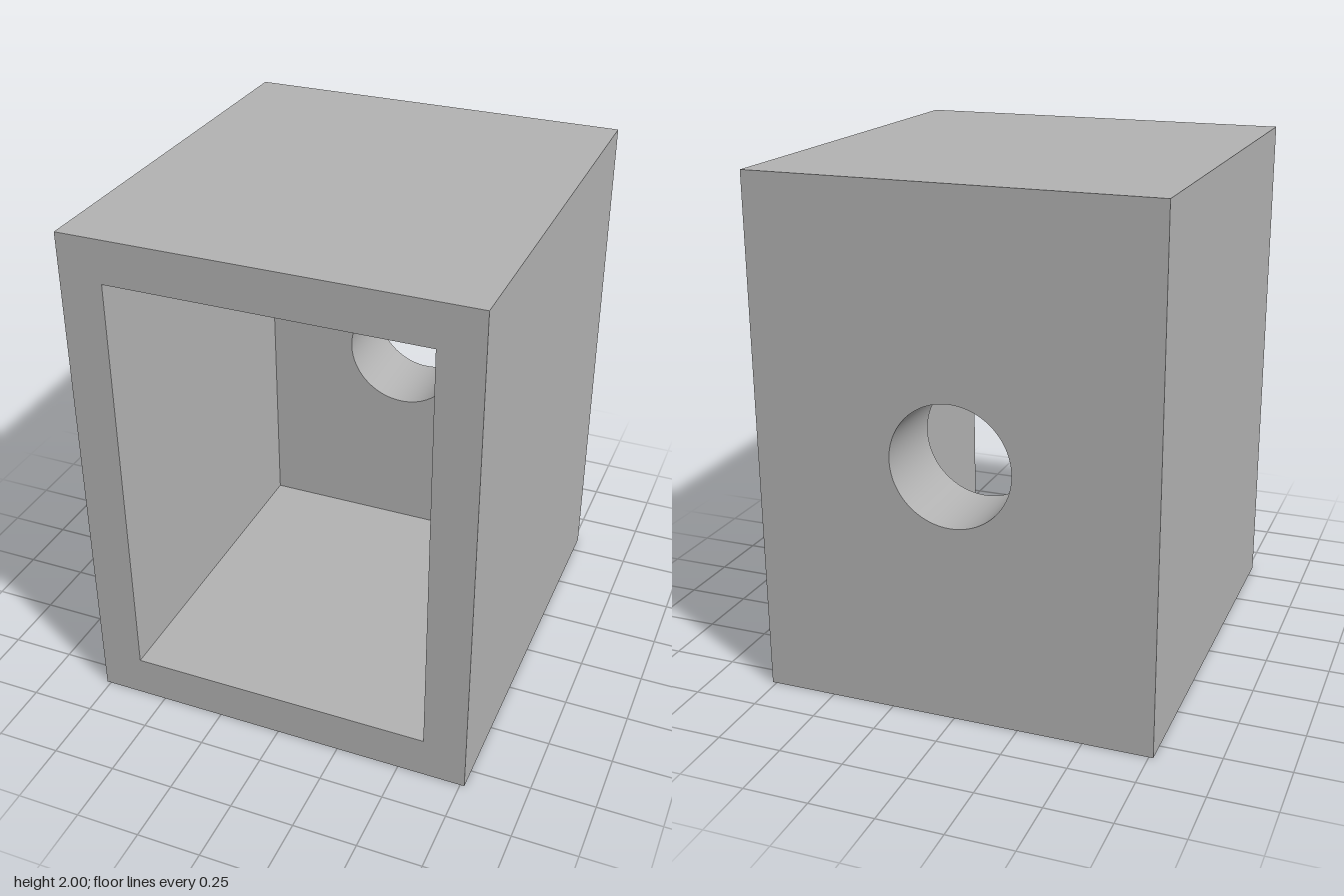
import * as THREE from 'three';
import { toCreasedNormals } from 'three/addons/utils/BufferGeometryUtils.js';

const W = 1.533, H = 2, D = 1.667; // outer size
const WALL = 0.167, BACK = 0.333, HOLE_RADIUS = 0.233;

function rectangle(target, w, h) {
  target.moveTo(-w / 2, -h / 2);
  target.lineTo(w / 2, -h / 2);
  target.lineTo(w / 2, h / 2);
  target.lineTo(-w / 2, h / 2);
  target.closePath();
  return target;
}

// Outer rectangle pierced by one opening, extruded towards +z
function piercedBlock(name, opening, depth, z, material) {
  const shape = rectangle(new THREE.Shape(), W, H);
  shape.holes.push(opening);
  const geometry = new THREE.ExtrudeGeometry(shape, { depth, bevelEnabled: false, curveSegments: 64 });
  const mesh = new THREE.Mesh(toCreasedNormals(geometry, 0.5), material);
  mesh.name = name;
  mesh.position.set(0, H / 2, z);
  return mesh;
}

export function createModel() {
  const group = new THREE.Group();
  group.name = 'openBox';
  const grey = new THREE.MeshStandardMaterial({ color: 0xb2b2b2 });
  grey.name = 'grey';

  // Four walls around the open front
  const cavity = rectangle(new THREE.Path(), W - 2 * WALL, H - 2 * WALL);
  group.add(piercedBlock('walls', cavity, D - BACK, -D / 2 + BACK, grey));

  // Thick back with a round through hole
  const hole = new THREE.Path();
  hole.absarc(0, 0, HOLE_RADIUS, 0, Math.PI * 2, true);
  group.add(piercedBlock('backPanel', hole, BACK, -D / 2, grey));

  return group;
}
